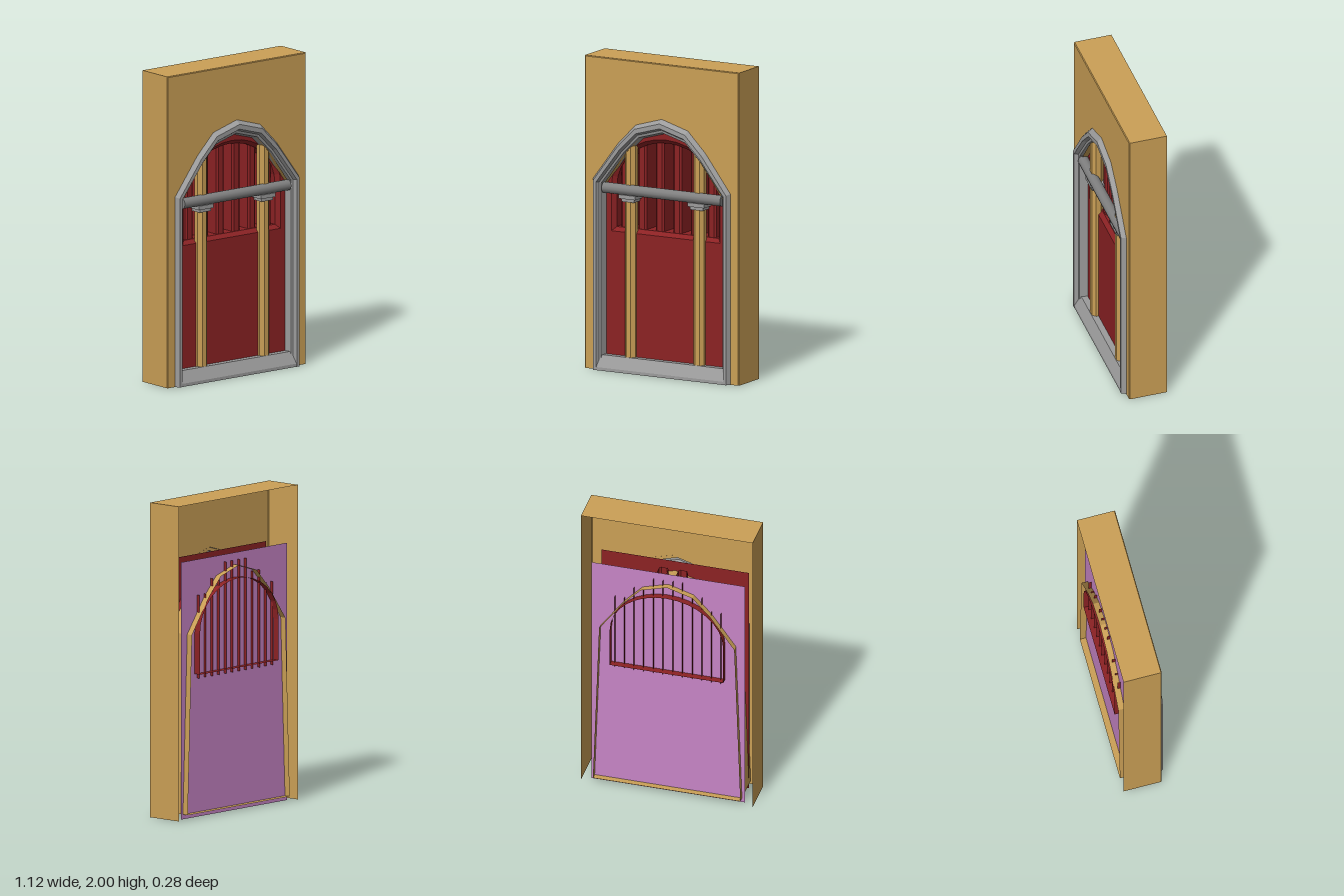
import * as THREE from 'three';

const material = (name, color) => {
  const m = new THREE.MeshStandardMaterial({ color, side: THREE.DoubleSide });
  m.name = name;
  return m;
};

// Faceted surface lofted through rows of [x, y, z] points
function loft(rows, close = false) {
  const pos = [];
  for (let r = 0; r + 1 < rows.length; r++) {
    const a = rows[r], b = rows[r + 1], n = a.length;
    for (let i = 0; i < (close ? n : n - 1); i++) {
      const j = (i + 1) % n;
      pos.push(...a[i], ...a[j], ...b[j], ...a[i], ...b[j], ...b[i]);
    }
  }
  const g = new THREE.BufferGeometry();
  g.setAttribute('position', new THREE.Float32BufferAttribute(pos, 3));
  g.computeVertexNormals();
  return g;
}

// Pointed low-poly arch outline, from right foot over the apex to left foot
const POINTED = [[1, 0], [0.64, 0.56], [0.38, 0.87], [0, 1]];
const ROUND = Array.from({ length: 9 }, (_, i) => {
  const t = (i / 8) * Math.PI / 2;
  return [Math.cos(t), Math.sin(t)];
});
function arch(curve, foot, half, y0, spring, apex) {
  const right = [[foot, y0], ...curve.map(([u, v]) => [half * u, spring + (apex - spring) * v])];
  const left = right.slice(0, -1).reverse().map(([x, y]) => [-x, y]);
  return [...right, ...left];
}
const atZ = (pts, z) => pts.map(([x, y]) => [x, y, z]);
const vectors = pts => pts.map(([x, y]) => new THREE.Vector2(x, y));

export function createModel() {
  const gold = material('ochre wall', 0xcba056);
  const red = material('dark red', 0x8c2224);
  const pink = material('pink pane', 0xc785c6);
  const stone = material('pale grey stone', 0x9c9c9c);
  const steel = material('mid grey', 0x808080);

  const root = new THREE.Group();
  root.name = 'archedWindow';
  const add = (name, geometry, mat, x = 0, y = 0, z = 0) => {
    const m = new THREE.Mesh(geometry, mat);
    m.name = name;
    m.position.set(x, y, z);
    root.add(m);
    return m;
  };

  // Wall: open-backed shell with an arched notch in its front
  const rim = [[-0.56, 0], [-0.56, 2], [0.56, 2], [0.56, 0]];
  const rimIn = [[-0.555, 0], [-0.555, 1.995], [0.555, 1.995], [0.555, 0]];
  add('wallShell', loft([atZ(rim, -0.138), atZ(rim, 0.105), atZ(rimIn, 0.11)]), gold);
  const notch = arch(POINTED, 0.47, 0.47, 0, 1.21, 1.625);
  const front = new THREE.Shape(vectors([...rimIn, ...notch]));
  add('wallFront', new THREE.ShapeGeometry(front), gold, 0, 0, 0.11);

  // Reveal running back through the wall
  const reveal = arch(POINTED, 0.48, 0.44, 0.03, 1.17, 1.56);
  add('reveal', loft([atZ(reveal, 0.1), atZ(reveal, -0.14)], true), gold);

  // Stone surround: moulded profile from outer to inner edge
  const profile = [[0, 0.108], [0.25, 0.14], [0.55, 0.14], [0.68, 0.115], [0.85, 0.11], [1, 0.055]];
  const mix = THREE.MathUtils.lerp;
  const frameRows = profile.map(([t, z]) =>
    atZ(arch(POINTED, mix(0.5, 0.43, t), mix(0.5, 0.43, t), 0, mix(1.22, 1.19, t), mix(1.648, 1.545, t)), z));
  add('archFrame', loft(frameRows), stone);

  // Sloping sill
  const sill = [[0, 0.05], [0, 0.138], [0.02, 0.138], [0.095, 0.1], [0.095, 0.05]];
  const sillEnd = x => sill.map(([y, z]) => [x, y, z]);
  add('sill', loft([sillEnd(-0.46), sillEnd(0.46)], true), stone);

  // Red panel with an arched window opening and bevelled edge
  const panel = new THREE.Shape(vectors([[-0.48, 0], [0.48, 0], [0.48, 1.63], [-0.48, 1.63]]));
  const outer = arch(ROUND, 0.395, 0.395, 0.885, 1.17, 1.505);
  const opening = arch(ROUND, 0.37, 0.37, 0.91, 1.17, 1.48);
  panel.holes.push(new THREE.Path(vectors(outer)));
  add('panel', new THREE.ShapeGeometry(panel), red, 0, 0, 0.06);
  add('panelOpening', loft([atZ(outer, 0.06), atZ(opening, 0.035), atZ(opening, -0.145)], true), red);

  // Window bars: open-backed channels, shorter toward the sides
  [[0.063, 1.59], [0.19, 1.5], [0.315, 1.41]].forEach(([cx, top]) => {
    for (const s of [-1, 1]) {
      const h = 0.031, y0 = 0.88;
      const section = y => [[-h, y, -0.12], [-h, y, 0.02], [-h * 0.6, y, 0.03], [h * 0.6, y, 0.03], [h, y, 0.02], [h, y, -0.12]];
      add('windowBar', loft([section(y0), section(top)]), red, s * cx);
    }
  });

  // Pane behind the bars
  add('pane', new THREE.PlaneGeometry(1, 1.635), pink, 0, 0.8175, -0.1);

  // Columns with stepped capitals
  for (const s of [-1, 1]) {
    const shaft = new THREE.CylinderGeometry(0.041, 0.041, 1.45, 8).rotateY(Math.PI / 8).toNonIndexed();
    shaft.computeVertexNormals();
    add('column', shaft, gold, s * 0.25, 0.725, 0.06);
    add('capitalTop', new THREE.BoxGeometry(0.12, 0.025, 0.1), stone, s * 0.25, 1.122, 0.065);
    add('capitalBase', new THREE.BoxGeometry(0.092, 0.02, 0.09), stone, s * 0.25, 1.1, 0.062);
  }

  // Crossbar
  add('crossbar', new THREE.CylinderGeometry(0.035, 0.035, 0.86, 12).rotateZ(Math.PI / 2), steel, 0, 1.165, 0.09);

  return root;
}
